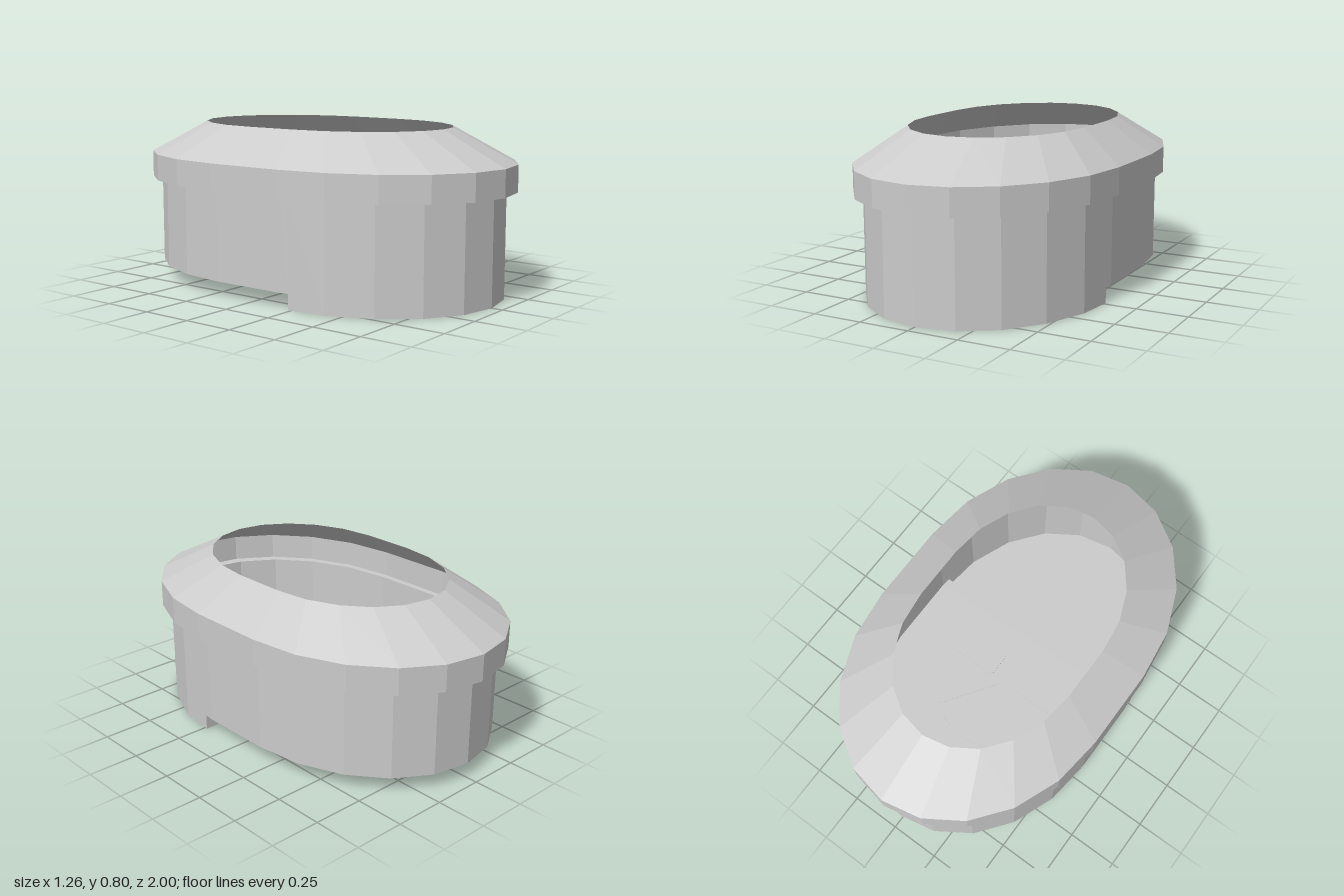
import * as THREE from 'three';

const STEP_Z = 0.235, STEP_Y = 0.075;
const BODY = 0.945, OPENING = 0.675;

// Stretched oval: two 10-segment half ellipses joined by short straight sides.
function oval(scale) {
  const pts = [];
  for (const end of [1, -1]) {
    for (let i = 0; i <= 10; i++) {
      const a = (i / 10) * Math.PI;
      pts.push(new THREE.Vector2(
        end * 0.632 * Math.cos(a) * scale,
        end * (0.8 * Math.sin(a) + 0.2) * scale));
    }
  }
  return pts;
}

// Oval with extra points where it crosses the floor step.
function splitOval(scale) {
  const pts = oval(scale), out = [];
  pts.forEach((p, i) => {
    const q = pts[(i + 1) % pts.length];
    out.push(p);
    if ((p.y - STEP_Z) * (q.y - STEP_Z) < 0)
      out.push(p.clone().lerp(q, (STEP_Z - p.y) / (q.y - p.y)));
  });
  return out;
}

// Band of quads between two outlines; the heights may depend on the segment.
function band(lower, upper, lowY, highY) {
  const pos = [];
  lower.forEach((a, i) => {
    const j = (i + 1) % lower.length;
    const b = lower[j], c = upper[j], d = upper[i];
    const y = typeof lowY === 'function' ? lowY((a.y + b.y) / 2) : lowY;
    const A = [a.x, y, a.y], B = [b.x, y, b.y];
    const C = [c.x, highY, c.y], D = [d.x, highY, d.y];
    pos.push(...A, ...C, ...B, ...A, ...D, ...C);
  });
  const g = new THREE.BufferGeometry();
  g.setAttribute('position', new THREE.Float32BufferAttribute(pos, 3));
  g.computeVertexNormals();
  return g;
}

export function createModel() {
  const group = new THREE.Group();
  const mat = new THREE.MeshStandardMaterial({
    color: 0xcccccc, flatShading: true, side: THREE.DoubleSide });
  const add = (name, geometry, y = 0) => {
    const mesh = new THREE.Mesh(geometry, mat);
    mesh.name = name;
    mesh.position.y = y;
    group.add(mesh);
    return mesh;
  };

  // Side wall, reaching lower in front of the step
  const outline = splitOval(BODY);
  add('bodyWall', band(outline, outline, z => (z > STEP_Z ? 0 : STEP_Y), 0.51));

  // Overhanging rim: ledge, upright band and sloping collar
  const outer = oval(1);
  add('rimLedge', band(oval(BODY), outer, 0.51, 0.51));
  add('rimBand', band(outer, outer, 0.51, 0.64));
  add('rimCollar', band(outer, oval(OPENING), 0.64, 0.8));

  // Floor in two levels with a riser between
  const flat = pts => new THREE.ShapeGeometry(new THREE.Shape(pts)).rotateX(Math.PI / 2);
  add('frontFloor', flat(outline.filter(p => p.y > STEP_Z - 1e-6)));
  add('backFloor', flat(outline.filter(p => p.y < STEP_Z + 1e-6)), STEP_Y);
  const stepX = Math.max(...outline.filter(p => Math.abs(p.y - STEP_Z) < 1e-6).map(p => p.x));
  const riser = add('floorStep', new THREE.PlaneGeometry(2 * stepX, STEP_Y).rotateY(Math.PI), STEP_Y / 2);
  riser.position.z = STEP_Z;

  // Thin plates set into the back floor, given as x, z corners
  const plates = {
    rightRectanglePlate: [[-0.355, -0.07], [-0.085, -0.07], [-0.085, 0.065], [-0.355, 0.065]],
    leftRectanglePlate: [[0.075, -0.07], [0.35, -0.07], [0.35, 0.065], [0.075, 0.065]],
    largeArcPlate: [[-0.355, -0.09], [-0.34, -0.19], [-0.29, -0.3], [-0.21, -0.38], [-0.12, -0.42],
      [0, -0.435], [0.1, -0.42], [0.19, -0.375], [-0.01, -0.09]],
    smallArcPlate: [[0.015, -0.09], [0.205, -0.36], [0.29, -0.28], [0.33, -0.19], [0.345, -0.09]],
    backPlate: [[-0.27, -0.425], [-0.26, -0.53], [-0.22, -0.62], [-0.08, -0.72], [0.1, -0.74],
      [0.28, -0.62], [0.4, -0.38], [0.375, -0.3], [0.07, -0.475]],
  };
  for (const [name, corners] of Object.entries(plates)) {
    const shape = new THREE.Shape(corners.map(([x, z]) => new THREE.Vector2(x, z)));
    const g = new THREE.ExtrudeGeometry(shape, { depth: 0.006, bevelEnabled: false });
    add(name, g.rotateX(Math.PI / 2), STEP_Y + 0.003);
  }
  return group;
}
